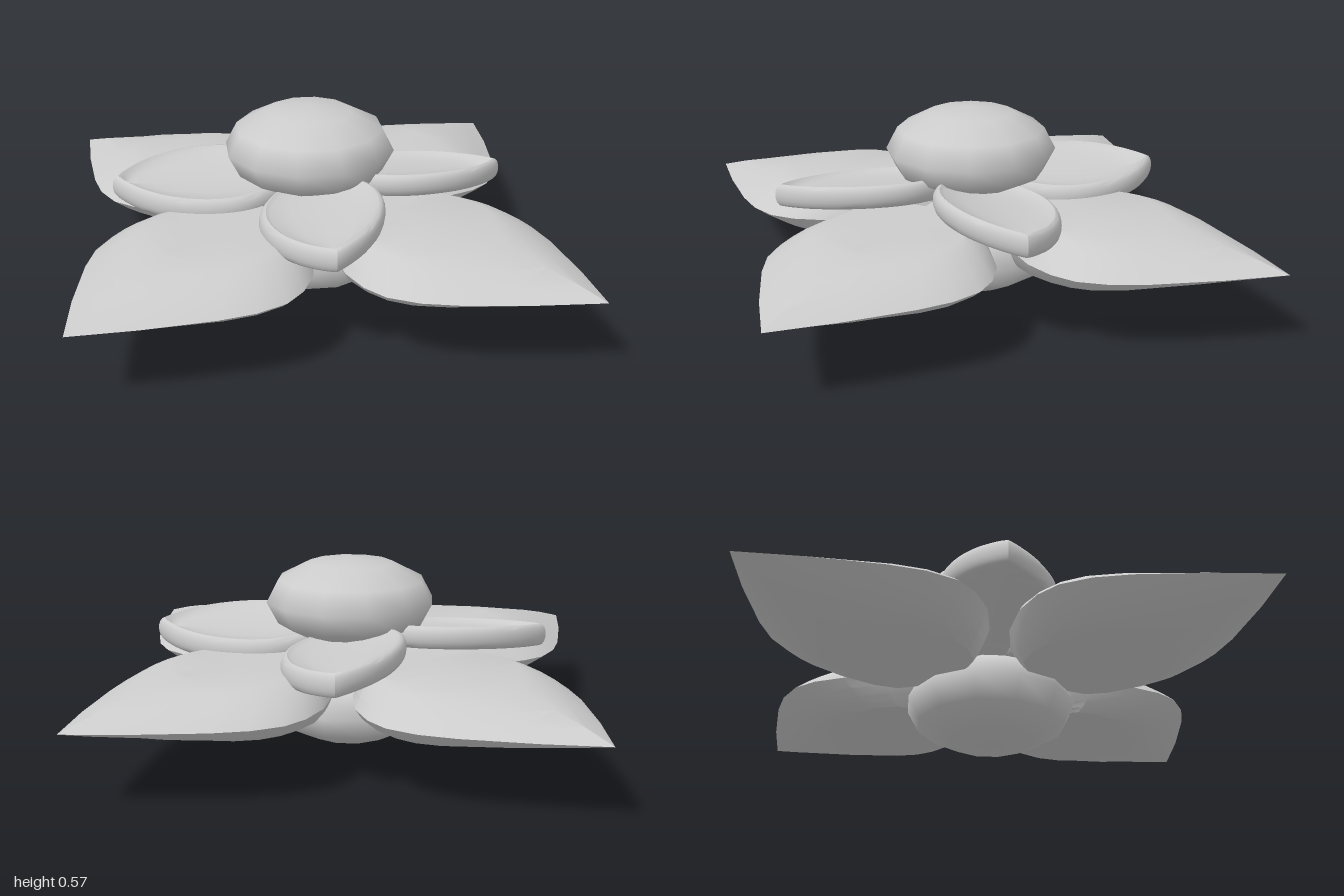
import * as THREE from 'three';
import { toCreasedNormals } from 'three/addons/utils/BufferGeometryUtils.js';

const material = new THREE.MeshStandardMaterial({ color: 0xcccccc });

// Closed leaf outline from half of it, [along, across] running from tip to root
function outline(half, samples) {
  const curve = new THREE.SplineCurve(half.map(([u, v]) => new THREE.Vector2(u, v)));
  const side = samples ? curve.getPoints(samples) : curve.points;
  const other = side.slice(1, -1).reverse().map((p) => new THREE.Vector2(p.x, -p.y));
  return [...side, ...other];
}

// Skin between rings of equal length, listed from bottom to top
function loft(rings, crease) {
  const n = rings[0].length;
  const index = [];
  for (let i = 0; i < rings.length - 1; i++) {
    for (let j = 0; j < n; j++) {
      const a = i * n + j, b = i * n + (j + 1) % n;
      index.push(a, a + n, b, b, a + n, b + n);
    }
  }
  const geometry = new THREE.BufferGeometry();
  geometry.setAttribute('position', new THREE.Float32BufferAttribute(rings.flat(2), 3));
  geometry.setIndex(index);
  return toCreasedNormals(geometry, crease);
}

// Broad pointed petal: sharp rim, convex bevels, flat plateau above and below
function outerPetalGeometry() {
  const rim = outline([[1, 0], [0.86, 0.125], [0.7, 0.25], [0.61, 0.305], [0.52, 0.333],
    [0.44, 0.325], [0.35, 0.288], [0.25, 0.21], [0.17, 0.11], [0.14, 0]]);
  const flat = outline([[0.625, 0], [0.605, 0.085], [0.54, 0.165], [0.49, 0.195], [0.44, 0.203],
    [0.38, 0.2], [0.31, 0.185], [0.25, 0.15], [0.215, 0.08], [0.21, 0]]);
  const ring = (t, y, widen = 1) => rim.map((p, i) => [
    THREE.MathUtils.lerp(p.x, flat[i].x, t), y,
    THREE.MathUtils.lerp(p.y, flat[i].y, t) * widen,
  ]);
  const bevel = [0, 0.25, 0.5, 0.75, 1];
  const rise = (t) => 0.079 * (t + 0.5 * t * (1 - t));
  return loft([
    ring(1, 0.154, 0),
    ...bevel.slice(1).reverse().map((t) => ring(t, 0.233 - rise(t))),
    ...bevel.map((t) => ring(t, 0.233 + rise(t))),
    ring(1, 0.312, 0),
  ], 0.4);
}

// Small thick petal: rolled rim and a dished top creased along its middle
function innerPetalGeometry(roll) {
  const edge = outline([[0.598, 0], [0.575, 0.035], [0.518, 0.094], [0.431, 0.148], [0.318, 0.178],
    [0.212, 0.168], [0.12, 0.115], [0.065, 0.055], [0.045, 0]], 24);
  const middle = 0.33;
  const ring = (su, sv, y) => edge.map((p) => {
    const v = p.y * sv;
    return [middle + (p.x - middle) * su, 0.34 + y + roll * v, v];
  });
  const rolled = [];
  for (let k = 0; k <= 8; k++) {
    const a = -Math.PI / 2 + (k / 8) * Math.PI;
    const inset = 1 - Math.cos(a);
    rolled.push(ring(1 - 0.07 * inset, 1 - 0.11 * inset, 0.034 * Math.sin(a)));
  }
  return loft([
    ring(0.8, 0, -0.038), ...rolled,
    ring(0.89, 0.82, 0.025), ring(0.87, 0.5, 0.017), ring(0.85, 0, 0.006),
  ], 0.7);
}

export function createModel() {
  const group = new THREE.Group();
  const add = (name, geometry) => {
    const mesh = new THREE.Mesh(geometry, material);
    mesh.name = name;
    group.add(mesh);
    return mesh;
  };

  // Four large and four small petals; the small ones roll up towards the x sides
  for (let k = 0; k < 4; k++) {
    add('outerPetal', outerPetalGeometry()).rotation.y = k * Math.PI / 2;
    add('innerPetal', innerPetalGeometry(k % 2 ? 0.15 : -0.15)).rotation.y = -Math.PI / 4 - k * Math.PI / 2;
  }

  // Flattened buds above and below the centre
  for (const [name, y] of [['upperBud', 0.442], ['lowerBud', 0.133]]) {
    add(name, new THREE.SphereGeometry(1, 12, 6).scale(0.258, 0.133, 0.258)).position.y = y;
  }
  return group;
}
